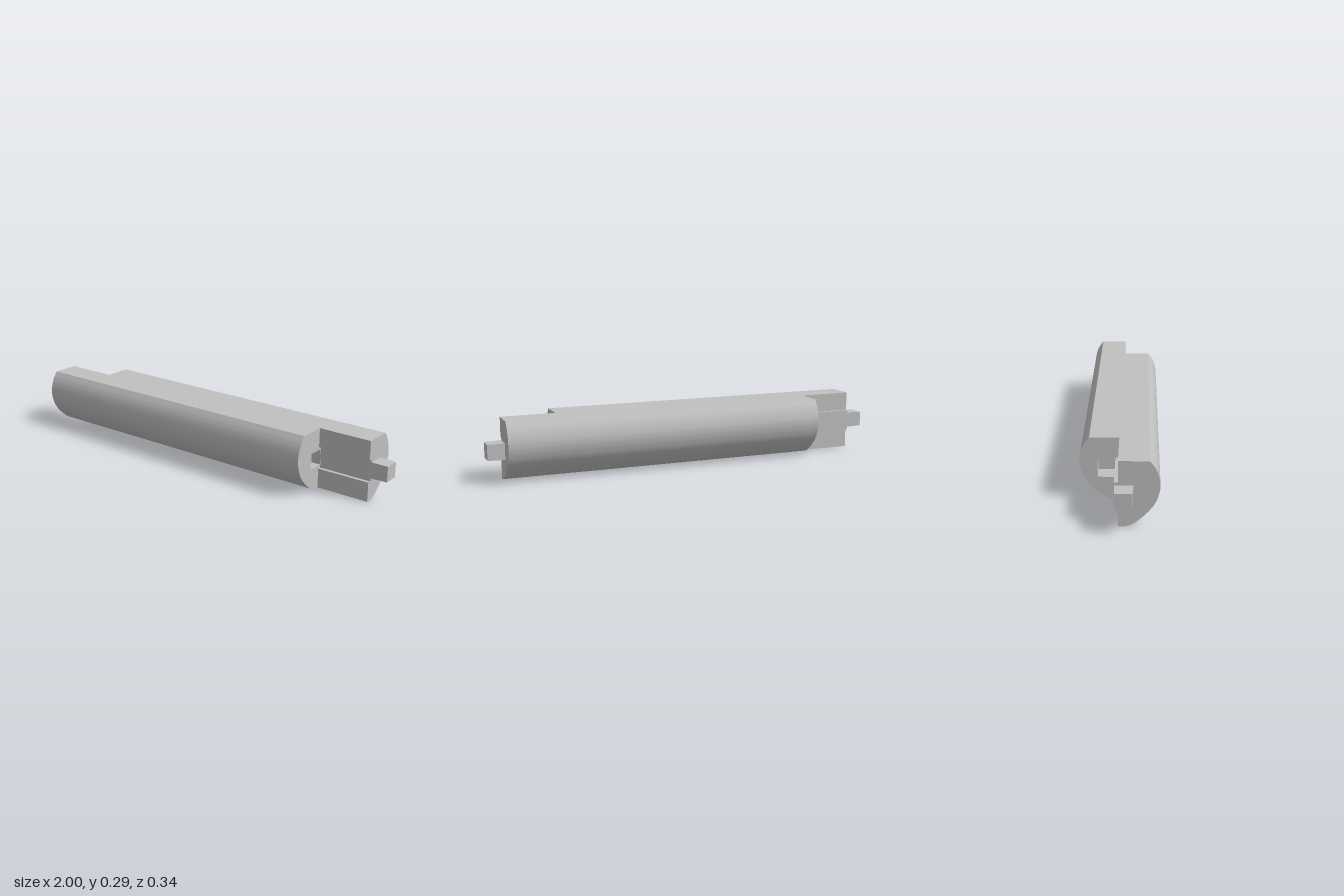
import * as THREE from 'three';
import { toCreasedNormals } from 'three/addons/utils/BufferGeometryUtils.js';

// Half outline of the beam: [distance from centre plane, height]
const BOTTOM = 0.002, TOP = 0.292;
const OUTLINE = [
  [0.03, 0.005], [0.064, 0.018], [0.1, 0.047], [0.13, 0.078], [0.15, 0.106],
  [0.165, 0.142], [0.172, 0.18], [0.169, 0.215], [0.155, 0.256], [0.13, TOP],
];
// Tongue and groove profile, and socket size
const KEY = { depth: 0.017, low: 0.095, high: 0.2 };
const SOCKET = { y: 0.148, size: 0.076, depth: 0.085 };
const FRONT_Z = 0.0235, BACK_Z = -0.056;

const points = (list, sign) => list.map(([u, y]) => new THREE.Vector2(sign * u, y));

// Shapes are drawn with their first axis along -z
function fullSection(holeZ) {
  const s = new THREE.Shape();
  s.moveTo(0, BOTTOM);
  s.splineThru(points(OUTLINE, 1));
  s.lineTo(-0.13, TOP);
  s.splineThru(points([...OUTLINE.slice(0, -1).reverse(), [0, BOTTOM]], -1));
  if (holeZ !== undefined) {
    const h = SOCKET.size / 2, u = -holeZ, y = SOCKET.y;
    s.holes.push(new THREE.Path([
      new THREE.Vector2(u - h, y - h), new THREE.Vector2(u - h, y + h),
      new THREE.Vector2(u + h, y + h), new THREE.Vector2(u + h, y - h),
    ]));
  }
  return s;
}

// One half: sign 1 is the back (with groove), -1 the front (with tongue)
function halfSection(sign) {
  const s = new THREE.Shape();
  s.moveTo(0, BOTTOM);
  s.splineThru(points(OUTLINE, sign));
  s.lineTo(0, TOP);
  s.lineTo(0, KEY.high);
  s.lineTo(KEY.depth, KEY.high);
  s.lineTo(KEY.depth, KEY.low);
  s.lineTo(0, KEY.low);
  return s;
}

export function createModel() {
  const group = new THREE.Group();
  const grey = new THREE.MeshStandardMaterial({ color: 0xc0c0c0 });
  grey.name = 'light grey';

  function add(name, geometry) {
    const mesh = new THREE.Mesh(toCreasedNormals(geometry, 0.6), grey);
    mesh.name = name;
    group.add(mesh);
  }

  function beam(name, shape, x0, x1) {
    const g = new THREE.ExtrudeGeometry(shape, { depth: x1 - x0, bevelEnabled: false, curveSegments: 4 });
    g.rotateY(Math.PI / 2);
    g.translate(x0, 0, 0);
    add(name, g);
  }

  // Square peg, slightly narrower at its tip
  function peg(name, side, z) {
    const size = 0.077, length = 0.08;
    const g = new THREE.BoxGeometry(length, size, size);
    const p = g.attributes.position;
    for (let i = 0; i < p.count; i++) {
      if (p.getX(i) * side > 0) p.setXYZ(i, p.getX(i), p.getY(i) * 0.95, p.getZ(i) * 0.95);
    }
    g.translate(side * (0.92 + length / 2), SOCKET.y, z);
    add(name, g);
  }

  // Beam from one end to the other
  const x0 = -0.655, x1 = 0.66, d = SOCKET.depth;
  beam('frontLapWithTongue', halfSection(-1), -0.92, x0);
  beam('backSocketSection', fullSection(BACK_Z), x0, x0 + d);
  beam('middleSection', fullSection(), x0 + d, x1 - d);
  beam('frontSocketSection', fullSection(FRONT_Z), x1 - d, x1);
  beam('backLapWithGroove', halfSection(1), x1, 0.92);

  // End pegs
  peg('frontLapPeg', -1, FRONT_Z);
  peg('backLapPeg', 1, BACK_Z);
  return group;
}
